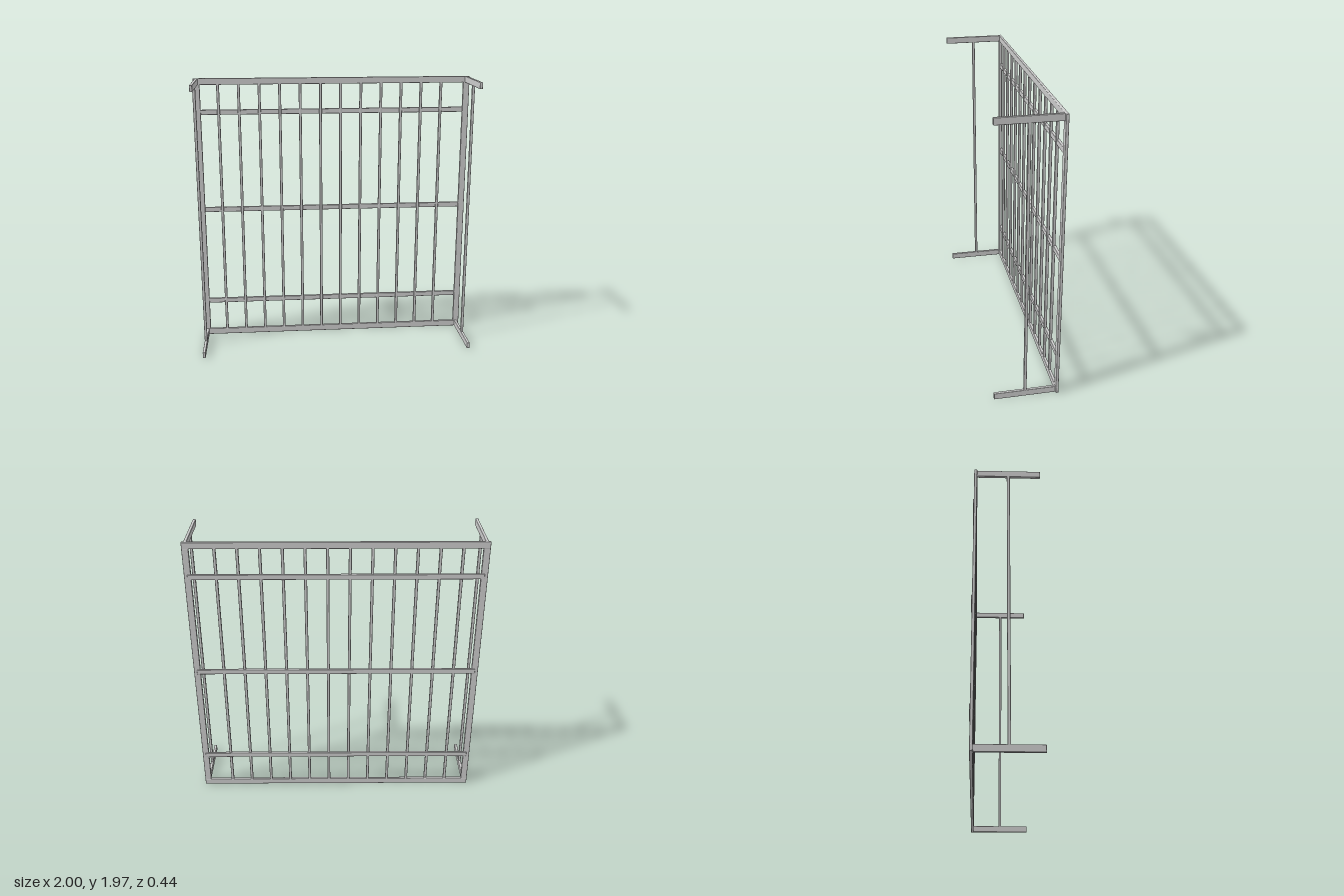
import * as THREE from 'three';
import { RoundedBoxGeometry } from 'three/addons/geometries/RoundedBoxGeometry.js';

const HEIGHT = 1.97;
const TUBE = 0.046; // face width of the main frame tubes
const THIN = 0.02; // thickness of bars and tubes
const BACK_Z = -0.207; // centre plane of the grille

export function createModel() {
  const model = new THREE.Group();
  const material = new THREE.MeshStandardMaterial({ color: 0xcccccc });

  // Straight tube with softly rounded edges
  const tube = (name, parent, size, position) => {
    const mesh = new THREE.Mesh(new RoundedBoxGeometry(...size, 2, 0.004), material);
    mesh.name = name;
    mesh.position.set(...position);
    parent.add(mesh);
  };
  const group = (name) => {
    const g = new THREE.Group();
    g.name = name;
    model.add(g);
    return g;
  };

  // Outer frame: top and bottom rails, two posts
  const frame = group('frame');
  const levels = [['bottom', TUBE / 2], ['top', HEIGHT - TUBE / 2]];
  for (const [level, y] of levels) {
    tube(level + 'Rail', frame, [2, TUBE, THIN], [0, y, BACK_Z]);
  }
  for (const [side, s] of [['left', 1], ['right', -1]]) {
    tube(side + 'Post', frame, [TUBE, HEIGHT - 2 * TUBE + 0.008, THIN], [s * (1 - TUBE / 2), HEIGHT / 2, BACK_Z]);

    // Side returns: forward arms joined by an upright
    const returns = group(side + 'Return');
    for (const [level, y] of levels) {
      tube(level + 'Arm', returns, [THIN, TUBE, 0.43], [s * 0.976, y, 0.007]);
    }
    tube('upright', returns, [THIN, HEIGHT - 2 * TUBE + 0.008, THIN], [s * 0.976, HEIGHT / 2, 0.01]);
  }

  // Horizontal cross rails, set slightly behind the frame
  const rails = group('crossRails');
  for (const y of [0.277, 1.002, 1.727]) {
    tube('crossRail', rails, [1.956, 0.036, THIN], [0, y, BACK_Z - 0.005]);
  }

  // Evenly spaced vertical bars
  const bars = group('verticalBars');
  for (let i = 0; i < 12; i++) {
    tube('verticalBar', bars, [THIN, HEIGHT - 2 * TUBE + 0.008, THIN], [-0.827 + i * 0.147, HEIGHT / 2, BACK_Z]);
  }

  return model;
}
